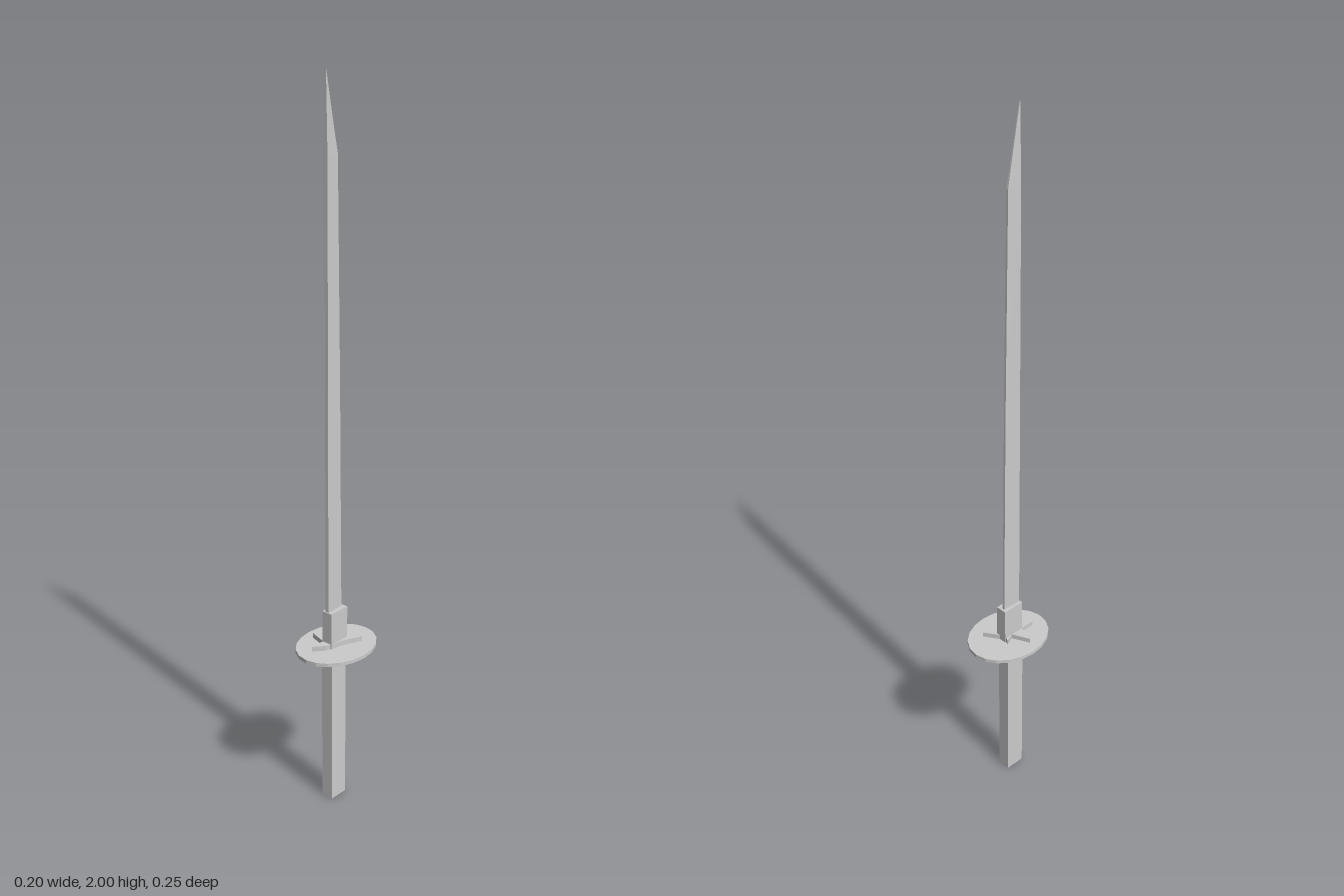
import * as THREE from 'three';

const mat = new THREE.MeshStandardMaterial({ color: 0xcccccc, flatShading: true, side: THREE.DoubleSide });

function add(group, name, geometry) {
  const mesh = new THREE.Mesh(geometry, mat);
  mesh.name = name;
  group.add(mesh);
  return mesh;
}

// Box given by its limits on each axis
function block(group, name, [x0, x1], [y0, y1], [z0, z1]) {
  add(group, name, new THREE.BoxGeometry(x1 - x0, y1 - y0, z1 - z0))
    .position.set((x0 + x1) / 2, (y0 + y1) / 2, (z0 + z1) / 2);
}

// Loft of four-cornered sections: [y, edge z, edge half thickness, spine half thickness]
function bladeGeometry(sections, x, spineZ) {
  const pos = [], idx = [];
  for (const [y, edgeZ, e, s] of sections) {
    pos.push(x - s, y, spineZ, x + s, y, spineZ, x + e, y, edgeZ, x - e, y, edgeZ);
  }
  for (let i = 0; i < sections.length - 1; i++) {
    for (let k = 0; k < 4; k++) {
      const a = i * 4 + k, b = i * 4 + (k + 1) % 4;
      idx.push(a, b, b + 4, a, b + 4, a + 4);
    }
  }
  const t = (sections.length - 1) * 4;
  idx.push(0, 2, 1, 0, 3, 2, t, t + 1, t + 2, t, t + 2, t + 3);
  const g = new THREE.BufferGeometry();
  g.setAttribute('position', new THREE.Float32BufferAttribute(pos, 3));
  g.setIndex(idx);
  const flat = g.toNonIndexed();
  flat.computeVertexNormals();
  return flat;
}

export function createModel() {
  const sword = new THREE.Group();
  sword.name = 'sword';

  // Square grip and the collar that holds the blade
  block(sword, 'grip', [-0.023, 0.013], [0, 0.468], [-0.023, 0.033]);
  block(sword, 'collar', [-0.019, 0.013], [0.468, 0.58], [-0.03, 0.035]);

  // Oval guard
  const guard = add(sword, 'guard', new THREE.CylinderGeometry(1, 1, 0.01, 20));
  guard.scale.set(0.099, 1, 0.123);
  guard.position.y = 0.47;

  // Uneven star ornament lying on the guard, drawn as x, z
  const star = [
    [-0.03, -0.032], [-0.011, -0.022], [0.043, -0.056], [0.018, 0.004], [0.016, 0.02],
    [0.005, 0.05], [-0.018, 0.078], [-0.018, 0.034], [-0.068, 0.018], [-0.019, -0.004],
  ];
  const shape = new THREE.Shape(star.map(([x, z]) => new THREE.Vector2(x, -z)));
  const ornament = new THREE.ExtrudeGeometry(shape, { depth: 0.014, bevelEnabled: false });
  ornament.rotateX(-Math.PI / 2);
  add(sword, 'guardOrnament', ornament).position.y = 0.475;

  // Single-edged blade with a straight spine and slanted point
  add(sword, 'blade', bladeGeometry([
    [0.57, -0.023, 0.003, 0.005],
    [1.2, -0.017, 0.003, 0.005],
    [1.8, -0.008, 0.003, 0.005],
    [1.85, 0.002, 0.002, 0.004],
    [2, 0.031, 0.001, 0.001],
  ], -0.005, 0.032));

  return sword;
}
